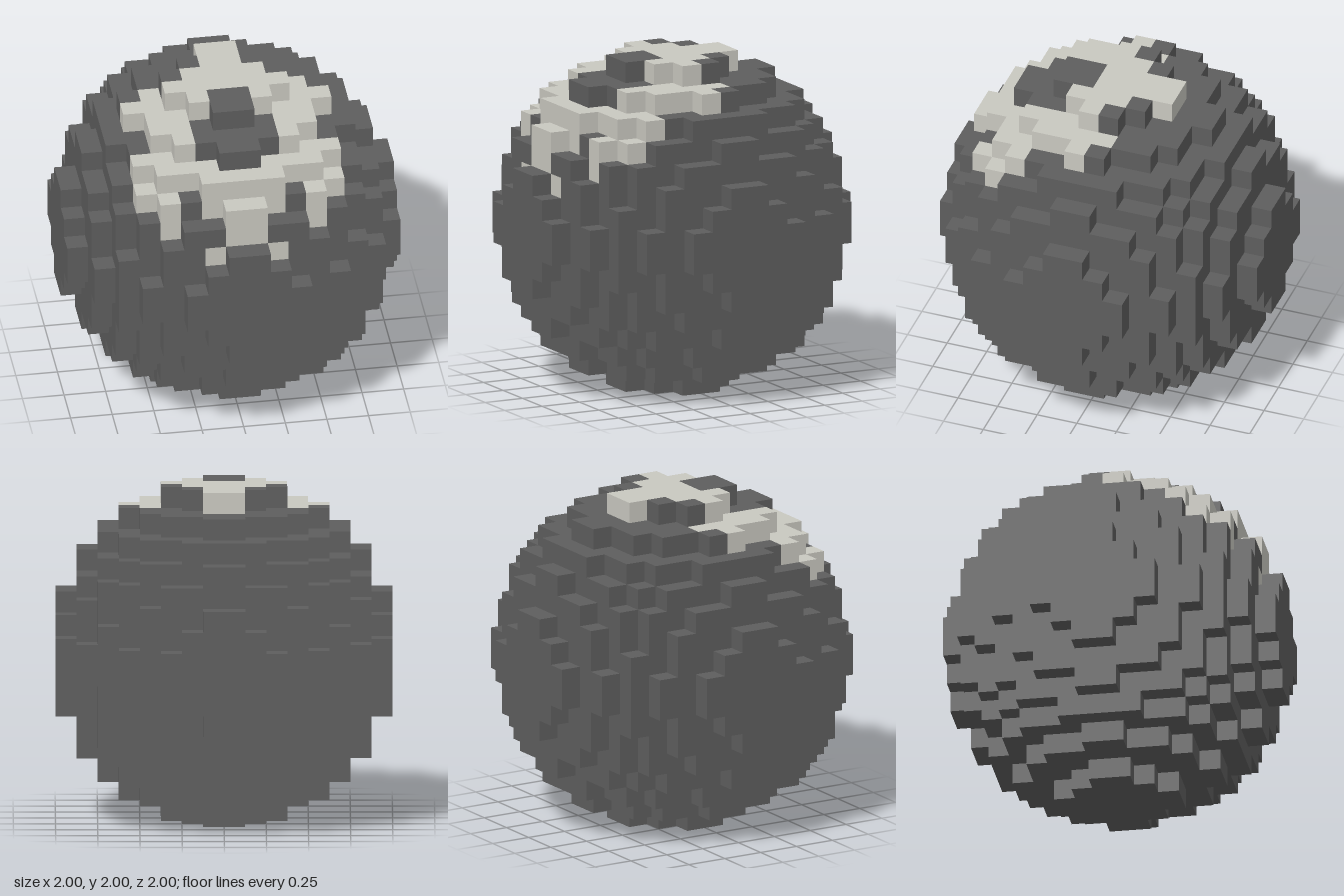
import * as THREE from 'three';
import { mergeGeometries } from 'three/addons/utils/BufferGeometryUtils.js';

const HALF = 8;            // ball radius in cubes
const CELL = 1 / HALF;     // cube size

// Pale ring pattern seen from above, mirrored in x: rows run from back (z = -3)
// to front (z = 6), each column is a cube step away from the middle.
const PATTERN = [
  '#....', '#....', '##.#.', '#####', '.###.',
  '..##.', '..###', '.####', '##.#.', '#....',
];

const inside = (x, y, z) =>
  (x + 0.5) ** 2 + (y + 0.5) ** 2 + (z + 0.5) ** 2 <= HALF * HALF;

function isPale(x, y, z) {
  const i = x < 0 ? -1 - x : x;
  if (y === 2 && z === 6 && i === 1) return true; // two spots below the ring
  return y >= 3 && PATTERN[z + 3]?.[i] === '#';
}

// One square per cube side: outward direction and the turn that faces it
const SIDES = [
  [[0, 0, 1], [0, 0, 0]],
  [[0, 0, -1], [0, Math.PI, 0]],
  [[1, 0, 0], [0, Math.PI / 2, 0]],
  [[-1, 0, 0], [0, -Math.PI / 2, 0]],
  [[0, 1, 0], [-Math.PI / 2, 0, 0]],
  [[0, -1, 0], [Math.PI / 2, 0, 0]],
].map(([dir, turn]) => {
  const square = new THREE.PlaneGeometry(CELL, CELL)
    .translate(0, 0, CELL / 2)
    .applyMatrix4(new THREE.Matrix4().makeRotationFromEuler(new THREE.Euler(...turn)));
  return { dir, square };
});

// Collects the exposed cube sides of the ball that belong to one colour
function cubeSkin(pale) {
  const faces = [];
  for (let x = -HALF; x < HALF; x++)
    for (let y = -HALF; y < HALF; y++)
      for (let z = -HALF; z < HALF; z++) {
        if (!inside(x, y, z) || isPale(x, y, z) !== pale) continue;
        for (const { dir, square } of SIDES) {
          if (inside(x + dir[0], y + dir[1], z + dir[2])) continue;
          faces.push(square.clone().translate(
            (x + 0.5) * CELL, (y + 0.5) * CELL + 1, (z + 0.5) * CELL));
        }
      }
  return mergeGeometries(faces);
}

export function createModel() {
  const group = new THREE.Group();
  group.name = 'cubeBall';
  const darkGrey = new THREE.MeshStandardMaterial({ color: 0x5e5e5e });
  darkGrey.name = 'darkGrey';
  const paleGrey = new THREE.MeshStandardMaterial({ color: 0xc9c8c0 });
  paleGrey.name = 'paleGrey';

  // Dark ball
  const ball = new THREE.Mesh(cubeSkin(false), darkGrey);
  ball.name = 'ball';
  // Pale ring marking on the upper front
  const marking = new THREE.Mesh(cubeSkin(true), paleGrey);
  marking.name = 'ringMarking';

  group.add(ball, marking);
  return group;
}
